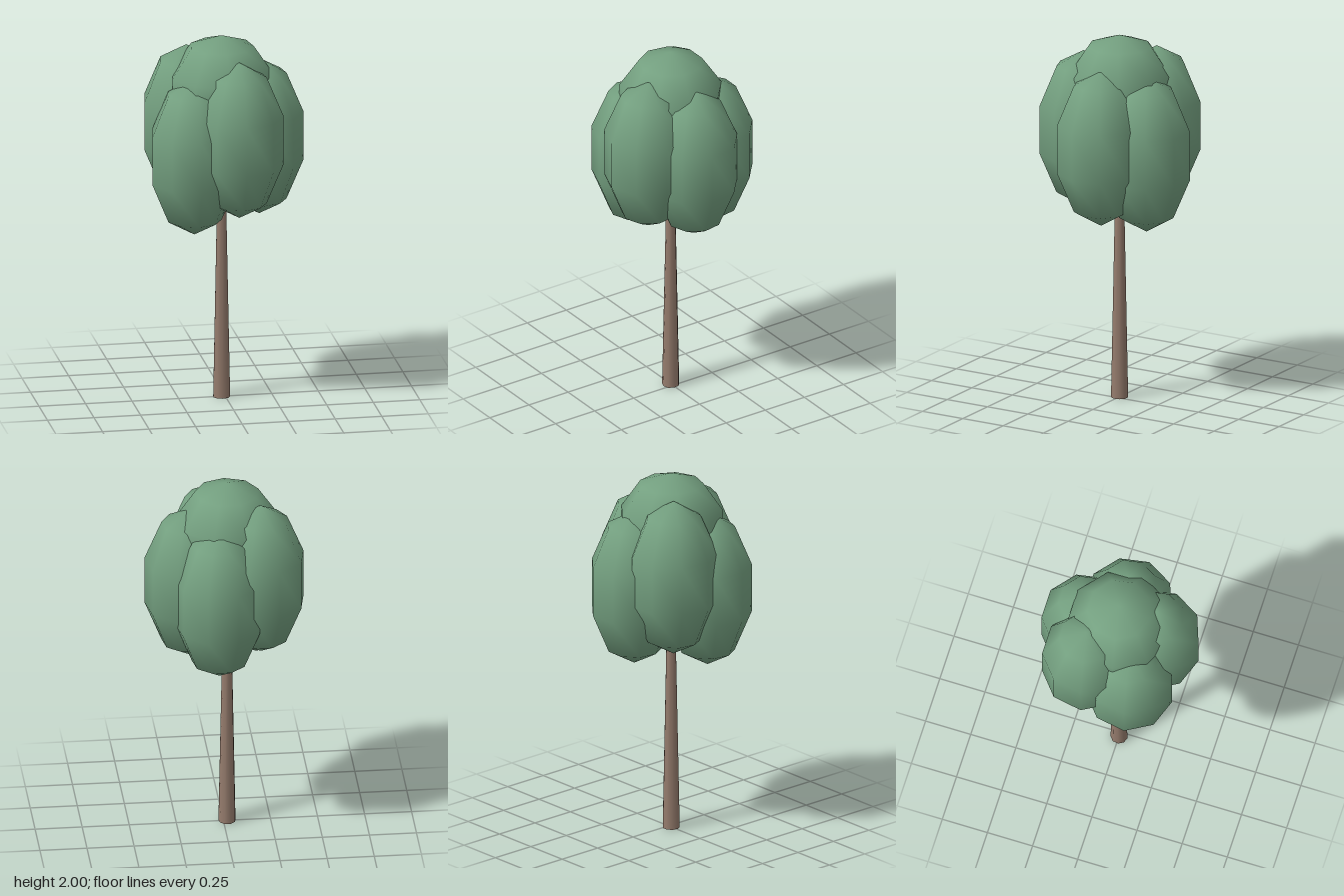
import * as THREE from 'three';

export function createModel() {
  const tree = new THREE.Group();
  tree.name = 'tree';

  const leafGreen = new THREE.MeshStandardMaterial({ color: 0x74a080 });
  leafGreen.name = 'leafGreen';
  const barkBrown = new THREE.MeshStandardMaterial({ color: 0x957c6d });
  barkBrown.name = 'barkBrown';

  // Tapered trunk
  const trunkHeight = 1.025;
  const trunk = new THREE.Mesh(new THREE.CylinderGeometry(0.026, 0.046, trunkHeight, 9), barkBrown);
  trunk.name = 'trunk';
  trunk.position.set(-0.02, trunkHeight / 2, 0);
  tree.add(trunk);

  // Coarse, smooth-shaded foliage lobe, turned so that one corner points to the front
  const lobeGeometry = new THREE.SphereGeometry(1, 9, 5, Math.PI / 18, Math.PI * 2);
  const foliage = new THREE.Group();
  foliage.name = 'foliage';
  tree.add(foliage);

  const addLobe = (name, x, y, z, radius, halfHeight) => {
    const lobe = new THREE.Mesh(lobeGeometry, leafGreen);
    lobe.name = name;
    lobe.position.set(x, y, z);
    lobe.scale.set(radius, halfHeight, radius);
    foliage.add(lobe);
  };

  // Crown on top
  addLobe('crownLobe', -0.02, 1.69, 0, 0.29, 0.31);

  // Ring of five tall lobes around the trunk
  const ring = [
    ['frontLobe', 0.042, 1.472, 0.185],
    ['leftLobe', 0.184, 1.43, -0.01],
    ['backLobe', 0.042, 1.392, -0.204],
    ['backRightLobe', -0.185, 1.49, -0.129],
    ['frontRightLobe', -0.186, 1.37, 0.11],
  ];
  for (const [name, x, y, z] of ring) addLobe(name, x, y, z, 0.247, 0.43);

  return tree;
}
